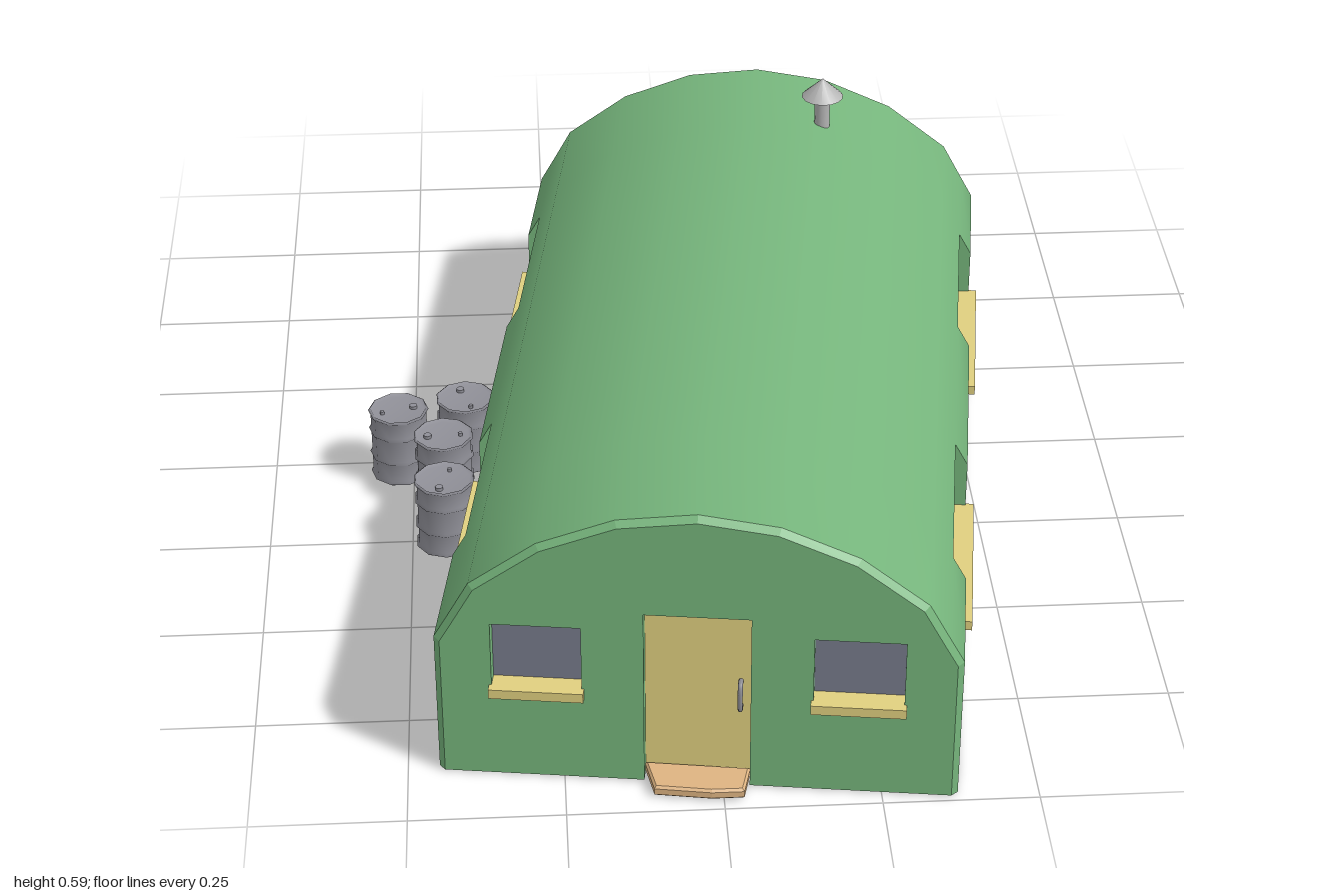
import * as THREE from 'three';

const mat = (color, extra = {}) => new THREE.MeshStandardMaterial({ color, side: THREE.DoubleSide, ...extra });
const GREEN = mat(0x76b57c), GREEN_FLAT = mat(0x76b57c, { flatShading: true });
const YELLOW = mat(0xe0d080), GLASS = mat(0x777b8c), METAL = mat(0x909098), PIPE = mat(0xb4b4b4);
const STONE = mat(0xdeb482, { flatShading: true });

const BASE = 0.006, HALF = 0.414, END = 0.737, BEVEL = 0.01;
const SILL = 0.18, TOP = 0.305, PANE_X = 0.385, PANE_Z = END - 0.025;
const TOP_X = 0.392; // wall half width at window-top height

// Right half of the hut's section, ground to ridge
const HALF_PROFILE = [[HALF, BASE], [HALF, SILL], [HALF, 0.265], [TOP_X, TOP], [0.357, 0.37],
  [0.25, 0.452], [0.127, 0.503], [0, 0.52]];
const PROFILE = [...HALF_PROFILE, ...HALF_PROFILE.slice(0, -1).reverse().map(([x, y]) => [-x, y])];
const inset = ([x, y]) => [x * (1 - BEVEL / HALF), y > 0.2 ? y - BEVEL * (y - 0.2) / 0.32 : y];

function add(parent, name, geometry, material, x = 0, y = 0, z = 0) {
  const mesh = new THREE.Mesh(geometry, material);
  mesh.name = name;
  mesh.position.set(x, y, z);
  parent.add(mesh);
  return mesh;
}

// Indexed surface through rows of points; skip(i, j) leaves a hole
function surface(rows, skip = () => false) {
  const n = rows[0].length, index = [];
  for (let i = 0; i < rows.length - 1; i++) {
    for (let j = 0; j < n - 1; j++) {
      if (skip(i, j)) continue;
      const a = i * n + j, b = a + 1, c = a + n, d = c + 1;
      index.push(a, c, b, b, c, d);
    }
  }
  const g = new THREE.BufferGeometry();
  g.setAttribute('position', new THREE.Float32BufferAttribute(rows.flat(2), 3));
  g.setIndex(index);
  g.computeVertexNormals();
  return g;
}

// Reveal of an opening, from its outer edge back to depth d
function reveal(outer, d) {
  return surface([outer, outer.map(([u, y]) => [u, y, d])]);
}

// Recessed window; local z points out of the wall
function makeWindow(name, width, top, outer, out, paneDepth) {
  const g = new THREE.Group();
  g.name = name;
  add(g, 'windowReveal', reveal(outer, paneDepth), GREEN_FLAT);
  add(g, 'windowPane', new THREE.PlaneGeometry(width, top - SILL), GLASS, 0, (top + SILL) / 2, paneDepth);
  const depth = out + 0.014 - paneDepth + 0.008;
  add(g, 'windowSill', new THREE.BoxGeometry(width + 0.008, 0.017, depth), YELLOW,
    0, SILL - 0.006, out + 0.014 - depth / 2);
  return g;
}

function endWall() {
  const g = new THREE.Group();
  g.name = 'endWall';
  const D = 0.084, DT = 0.333, WT = 0.301, W = 0.142;
  // Wall face with a door notch and two window holes
  const pts = PROFILE.map(inset);
  const shape = new THREE.Shape([...pts, [-D, BASE], [-D, DT], [D, DT], [D, BASE]]
    .map(([x, y]) => new THREE.Vector2(x, y)));
  for (const s of [-1, 1]) {
    const cx = s * 0.253, x0 = cx - W / 2, x1 = cx + W / 2;
    shape.holes.push(new THREE.Path([[x0, SILL], [x0, WT], [x1, WT], [x1, SILL]]
      .map(([x, y]) => new THREE.Vector2(x, y))));
    const loop = [[-W / 2, SILL], [-W / 2, WT], [W / 2, WT], [W / 2, SILL], [-W / 2, SILL]]
      .map(([u, y]) => [u, y, END]);
    const win = makeWindow('endWindow', W, WT, loop, END, PANE_Z);
    win.position.x = cx;
    g.add(win);
  }
  add(g, 'endWallFace', new THREE.ShapeGeometry(shape), GREEN, 0, 0, END);
  add(g, 'endBevel', surface([PROFILE.map(([x, y]) => [x, y, END - BEVEL]),
    pts.map(([x, y]) => [x, y, END])]), GREEN_FLAT);
  // Door, its reveal and handle
  const frame = [[-D, BASE], [-D, DT], [D, DT], [D, BASE]].map(([x, y]) => [x, y, END]);
  add(g, 'doorReveal', reveal(frame, PANE_Z), GREEN_FLAT);
  add(g, 'door', new THREE.PlaneGeometry(D * 2, DT - BASE), YELLOW, 0, (DT + BASE) / 2, PANE_Z);
  const path = new THREE.CatmullRomCurve3([[0.148, -0.003], [0.148, 0.014], [0.155, 0.018],
    [0.189, 0.018], [0.196, 0.014], [0.196, -0.003]]
    .map(([y, z]) => new THREE.Vector3(0.067, y, PANE_Z + z)));
  add(g, 'doorHandle', new THREE.TubeGeometry(path, 20, 0.004, 6), METAL);
  return g;
}

function makeHut() {
  const hut = new THREE.Group();
  hut.name = 'hut';
  // Arched shell with window openings cut through the wall and lowest roof slope
  const zs = [-END + BEVEL, -0.51, -0.187, 0.187, 0.51, END - BEVEL];
  const last = PROFILE.length - 2;
  const rows = zs.map(z => PROFILE.map(([x, y]) => [x, y, z]));
  const cut = (i, j) => (i === 1 || i === 3) && [1, 2, last - 1, last - 2].includes(j);
  add(hut, 'archedShell', surface(rows, cut), GREEN);

  // Side windows, two on each side
  const h = 0.1615;
  const edge = [[-h, SILL, HALF], [-h, 0.265, HALF], [-h, TOP, TOP_X],
    [h, TOP, TOP_X], [h, 0.265, HALF], [h, SILL, HALF], [-h, SILL, HALF]];
  for (const s of [-1, 1]) {
    for (const z of [-0.3485, 0.3485]) {
      const win = makeWindow('sideWindow', h * 2, TOP, edge, HALF, PANE_X);
      win.rotation.y = s * Math.PI / 2;
      win.position.z = z;
      hut.add(win);
    }
  }
  // Both ends are alike
  const front = endWall(), back = endWall();
  back.rotation.y = Math.PI;
  hut.add(front, back);

  // Stove chimney with conical cap
  add(hut, 'chimneyPipe', new THREE.CylinderGeometry(0.014, 0.014, 0.07, 12), PIPE, 0.13, 0.528, -0.558);
  add(hut, 'chimneyCap', new THREE.ConeGeometry(0.038, 0.036, 14), PIPE, 0.13, 0.577, -0.558);
  return hut;
}

function makeBarrel(x, z, turn) {
  const g = new THREE.Group();
  g.name = 'barrel';
  const r = 0.05, R = 0.054;
  const profile = [[0, 0.02], [0.046, 0.02], [r, 0.015], [R, 0.018], [r, 0.023], [r, 0.056], [R, 0.06],
    [r, 0.064], [r, 0.106], [R, 0.11], [r, 0.114], [r, 0.143], [R, 0.147], [r, 0.15], [0.046, 0.144], [0, 0.144]];
  add(g, 'barrelBody', new THREE.LatheGeometry(profile.map(p => new THREE.Vector2(...p)), 10), METAL);
  add(g, 'barrelBung', new THREE.CylinderGeometry(0.007, 0.007, 0.006, 8), METAL, 0.028, 0.147, 0);
  add(g, 'barrelVent', new THREE.CylinderGeometry(0.004, 0.004, 0.006, 6), METAL, -0.03, 0.147, 0);
  g.position.set(x, 0, z);
  g.rotation.y = turn;
  return g;
}

// Flat slab from a ground outline of [x, z] corners
function makeSlab(parent, name, corners, y, height) {
  const shape = new THREE.Shape(corners.map(([x, z]) => new THREE.Vector2(x, -z)));
  const b = 0.004;
  const geo = new THREE.ExtrudeGeometry(shape, { depth: height - 2 * b, bevelEnabled: true,
    bevelThickness: b, bevelSize: b, bevelOffset: -b, bevelSegments: 1 });
  geo.rotateX(-Math.PI / 2);
  add(parent, name, geo, STONE, 0, y + b, 0);
}

export function createModel() {
  const model = new THREE.Group();
  model.name = 'arched hut';
  const hut = makeHut();
  hut.position.set(0.06, 0, 0.205);
  hut.rotation.y = -0.137;
  model.add(hut);

  // Barrels beside the wall
  [[-0.523, 0.043, 0.3], [-0.403, 0.012, 1.9], [-0.442, 0.13, 3.2], [-0.44, 0.267, 4.4]]
    .forEach(b => model.add(makeBarrel(...b)));

  // Stepping stones behind the back door
  const stones = [
    [[0.14, -0.97], [0.16, -1], [0.19, -0.97], [0.16, -0.93]],
    [[0.21, -0.83], [0.25, -0.87], [0.29, -0.82], [0.26, -0.78]],
    [[0.125, -0.78], [0.15, -0.81], [0.205, -0.815], [0.21, -0.735], [0.125, -0.735]],
    [[0.245, -0.75], [0.27, -0.755], [0.275, -0.725], [0.25, -0.715]],
    [[0.075, -0.715], [0.17, -0.72], [0.175, -0.635], [0.12, -0.625], [0.08, -0.65]],
    [[0.19, -0.665], [0.255, -0.7], [0.3, -0.655], [0.285, -0.615], [0.21, -0.6]],
    [[0.29, -0.71], [0.325, -0.735], [0.355, -0.69], [0.33, -0.66]],
    [[0.04, -0.545], [0.075, -0.61], [0.105, -0.605], [0.115, -0.54]],
    [[0.125, -0.555], [0.14, -0.592], [0.24, -0.6], [0.245, -0.5], [0.125, -0.5]],
    [[0.265, -0.585], [0.32, -0.595], [0.335, -0.56], [0.295, -0.53], [0.265, -0.54]],
  ];
  stones.forEach((s, i) => makeSlab(model, 'steppingStone', s, i ? 0.007 : 0.004, 0.014));

  // Step at the front door
  makeSlab(model, 'doorStep', [[-0.122, 0.9], [0.045, 0.925], [0.032, 0.98], [-0.02, 0.98], [-0.11, 0.965]],
    0.006, 0.019);
  return model;
}
